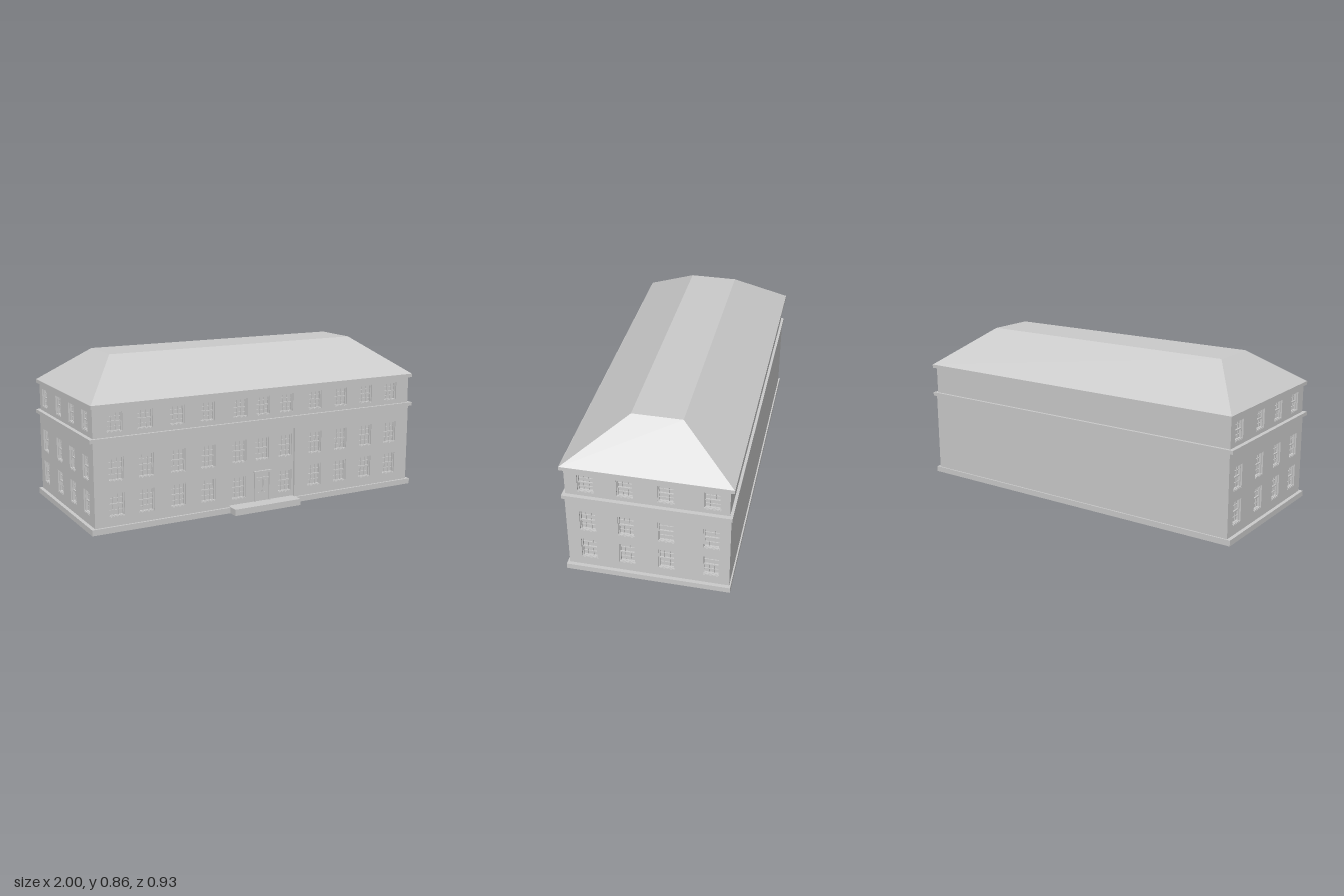
import * as THREE from 'three';
import { mergeGeometries } from 'three/addons/utils/BufferGeometryUtils.js';

const mat = new THREE.MeshStandardMaterial({ color: 0xcccccc, flatShading: true, side: THREE.DoubleSide });
const WALL = 0.014, WIN_W = 0.085;

function mesh(name, geo, parent) {
  const m = new THREE.Mesh(geo, mat);
  m.name = name;
  parent.add(m);
  return m;
}

function box(w, h, d, x, y, z) {
  return new THREE.BoxGeometry(w, h, d).translate(x, y, z).toNonIndexed();
}

// Flat slab x0..x1, y0..y1 with rectangular holes [x0, x1, y0, y1]; front face at z = 0
function slab(x0, x1, y0, y1, holes, depth) {
  const corners = (a, b, c, d) => [[a, c], [b, c], [b, d], [a, d]].map(p => new THREE.Vector2(...p));
  const shape = new THREE.Shape(corners(x0, x1, y0, y1));
  for (const h of holes) shape.holes.push(new THREE.Path(corners(...h).reverse()));
  return new THREE.ExtrudeGeometry(shape, { depth, bevelEnabled: false }).translate(0, 0, -depth);
}

// Recessed sash window: frame, pane, glazing bars, meeting rail and sill
function windowGeometry(h) {
  const w = WIN_W, parts = [];
  const f = 0.006, depth = 0.022;
  const frame = slab(-w / 2 - 0.002, w / 2 + 0.002, -h / 2 - 0.002, h / 2 + 0.002,
    [[-w / 2 + f, w / 2 - f, -h / 2 + f, h / 2 - f]], depth - 0.007).translate(0, 0, -0.009);
  parts.push(frame.index ? frame.toNonIndexed() : frame);
  parts.push(box(w, h, 0.002, 0, 0, -depth));
  for (const x of [-w / 6, w / 6]) parts.push(box(0.003, h, 0.005, x, 0, -depth + 0.004));
  for (const y of [-h / 4, h / 4]) parts.push(box(w, 0.003, 0.005, 0, y, -depth + 0.004));
  parts.push(box(w, 0.007, 0.009, 0, 0, -depth + 0.006));
  parts.push(box(w, 0.004, 0.012, 0, -h / 2 + 0.002, -0.008));
  return mergeGeometries(parts);
}
const TALL = 0.124, SHORT = 0.102;
const windowGeos = { [TALL]: windowGeometry(TALL), [SHORT]: windowGeometry(SHORT) };

// Wall pierced by windows [x, y, height], with optional extra holes
function facade(name, x0, x1, y0, y1, wins, extra = [], depth = WALL) {
  const g = new THREE.Group();
  g.name = name;
  const holes = wins.map(([x, y, h]) => [x - WIN_W / 2, x + WIN_W / 2, y - h / 2, y + h / 2]);
  mesh('wall', slab(x0, x1, y0, y1, [...holes, ...extra], depth), g);
  for (const [x, y, h] of wins) mesh('window', windowGeos[h], g).position.set(x, y, 0);
  return g;
}

// Horizontal ledge running round the building, open in the middle
function ledge(name, x, zBack, zFront, y0, y1, parent) {
  const t = 0.035;
  const geo = slab(-x, x, -zFront, -zBack, [[-x + t, x - t, -zFront + t, -zBack - t]], y1 - y0);
  geo.rotateX(-Math.PI / 2).translate(0, y1, 0);
  mesh(name, geo, parent);
}

// Hipped roof with a flat top: eaves rectangle joined to ridge rectangle
function roofGeometry() {
  const ring = (x0, x1, y, z0, z1) => [[x0, y, z1], [x1, y, z1], [x1, y, z0], [x0, y, z0]];
  const a = ring(-0.99, 0.99, 0.664, -0.463, 0.41);
  const b = ring(-0.765, 0.748, 0.863, -0.164, 0.1);
  const pos = [];
  const quad = (p, q, r, s) => pos.push(...p, ...q, ...r, ...p, ...r, ...s);
  for (let i = 0; i < 4; i++) {
    const j = (i + 1) % 4;
    quad(a[i], a[j], b[j], b[i]);
  }
  quad(...b);
  const geo = new THREE.BufferGeometry();
  geo.setAttribute('position', new THREE.Float32BufferAttribute(pos, 3));
  geo.computeVertexNormals();
  return geo;
}

// Double entrance door with raised panels, handle and small hood
function door() {
  const g = new THREE.Group();
  g.name = 'entranceDoor';
  mesh('doorFrame', slab(-0.05, 0.05, 0.03, 0.2, [[-0.042, 0.042, 0.034, 0.192]], 0.012).translate(0, 0, 0.008), g);
  mesh('hood', box(0.11, 0.008, 0.012, 0, 0.202, 0.006), g);
  mesh('transom', box(0.086, 0.006, 0.006, 0, 0.165, 0.003), g);
  for (const s of [-1, 1]) {
    mesh('doorLeaf', box(0.039, 0.128, 0.004, s * 0.0205, 0.098, 0), g);
    for (const [y, h] of [[0.062, 0.04], [0.125, 0.055]])
      mesh('doorPanel', box(0.024, h, 0.003, s * 0.021, y, 0.003), g);
    mesh('handle', box(0.003, 0.008, 0.005, s * 0.005, 0.092, 0.004), g);
  }
  return g;
}

export function createModel() {
  const model = new THREE.Group();
  model.name = 'building';

  // Front: outer windows, and a shallow recessed entrance bay
  const outer = [-0.86, -0.695, -0.516, -0.34, 0.33, 0.502, 0.676, 0.85];
  const inner = [-0.145, -0.003, 0.144];
  const bay = [-0.214, 0.198, 0.03, 0.425];
  const frontWins = outer.flatMap(x => [[x, 0.328, TALL], [x, 0.142, TALL]]);
  const front = facade('frontWall', -0.98, 0.98, 0, 0.48, frontWins, [bay]);
  front.position.z = 0.395;
  const upperFront = facade('upperFrontWall', -0.978, 0.978, 0.48, 0.655,
    [...outer, ...inner].map(x => [x, 0.569, SHORT]));
  upperFront.position.z = 0.39;
  const bayWins = [...inner.map(x => [x, 0.328, TALL]), [-0.148, 0.126, TALL], [0.144, 0.126, TALL]];
  const bayWall = facade('entranceBay', -0.22, 0.204, 0.025, 0.43, bayWins, [], 0.008);
  bayWall.position.z = 0.395 - WALL;
  const entrance = door();
  entrance.position.x = -0.003;
  bayWall.add(entrance);
  model.add(front, upperFront, bayWall);

  // Sides: four windows on each of three floors
  const sideZ = [0.282, 0.082, -0.124, -0.355];
  for (const s of [1, -1]) {
    const low = sideZ.flatMap(z => [[-s * z, 0.326, TALL], [-s * z, 0.144, TALL]]);
    const high = sideZ.map(z => [-s * z, 0.568, SHORT]);
    const span = (a, b) => (s > 0 ? [-b, -a] : [a, b]);
    const lower = facade('sideWall', ...span(-0.448, 0.385), 0, 0.48, low);
    const upper = facade('upperSideWall', ...span(-0.438, 0.38), 0.48, 0.655, high);
    lower.position.x = s * 0.98;
    upper.position.x = s * 0.978;
    lower.rotation.y = upper.rotation.y = s * Math.PI / 2;
    model.add(lower, upper);
  }

  // Plain back
  mesh('backWall', box(1.96, 0.48, WALL, 0, 0.24, -0.45 + WALL / 2), model);
  mesh('upperBackWall', box(1.956, 0.175, WALL, 0, 0.5675, -0.442 + WALL / 2), model);

  // Plinth, string course and eaves
  ledge('plinth', 1, -0.458, 0.407, 0, 0.031, model);
  ledge('stringCourse', 1, -0.457, 0.405, 0.474, 0.494, model);
  ledge('eaves', 0.99, -0.463, 0.41, 0.645, 0.665, model);

  mesh('roof', roofGeometry(), model);
  mesh('frontStep', box(0.41, 0.035, 0.083, -0.009, 0.0175, 0.4215), model);
  return model;
}
